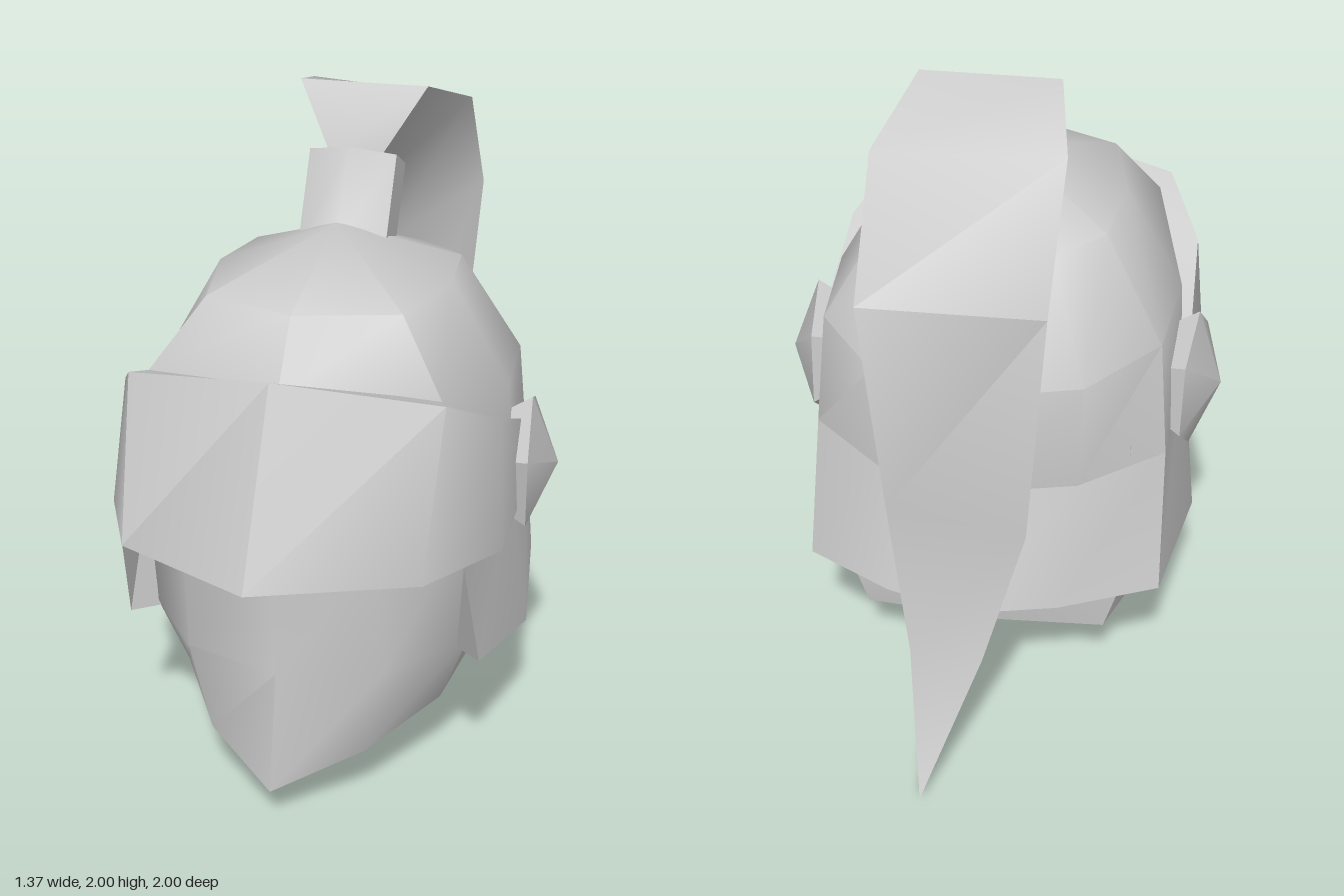
import * as THREE from 'three';
import { toCreasedNormals } from 'three/addons/utils/BufferGeometryUtils.js';

const material = new THREE.MeshStandardMaterial({ color: 0xcccccc, side: THREE.DoubleSide });

const flip = ([x, y, z]) => [-x, y, z];

// half ring from front centre to back centre -> full closed ring
const ring = (half) => [...half, ...half.slice(1, -1).reverse().map(flip)];
// half arc from front centre to its left end -> arc across the front
const frontArc = (half) => [...half.slice(1).reverse().map(flip), ...half];
// half arc from its left end to back centre -> arc around the back
const backArc = (half) => [...half, ...half.slice(0, -1).reverse().map(flip)];
// a row that shrinks to one point
const point = (p, n) => Array.from({ length: n }, () => p);

// Skin rows of points, listed top to bottom
function loft(rows, closed, crease = 0.75) {
  const n = rows[0].length;
  const index = [];
  for (let i = 0; i < rows.length - 1; i++) {
    for (let j = 0; j < (closed ? n : n - 1); j++) {
      const a = i * n + j, b = i * n + ((j + 1) % n);
      index.push(a + n, b + n, b, a + n, b, a);
    }
  }
  const g = new THREE.BufferGeometry();
  g.setAttribute('position', new THREE.Float32BufferAttribute(rows.flat(2), 3));
  g.setIndex(index);
  return toCreasedNormals(g, crease);
}

export function createModel() {
  const group = new THREE.Group();
  const add = (name, geometry) => {
    const mesh = new THREE.Mesh(geometry, material);
    mesh.name = name;
    group.add(mesh);
    return mesh;
  };

  // Skull dome
  const domeRows = [
    [[0, 1.52, 0.54], [0.29, 1.51, 0.42], [0.36, 1.51, 0.1], [0.33, 1.5, -0.17], [0.2, 1.49, -0.3], [0, 1.49, -0.34]],
    [[0, 1.33, 0.67], [0.43, 1.31, 0.53], [0.54, 1.2, 0.1], [0.51, 1.19, -0.25], [0.31, 1.17, -0.49], [0, 1.17, -0.58]],
    [[0, 0.84, 0.7], [0.48, 0.84, 0.5], [0.56, 0.83, 0.1], [0.54, 0.83, -0.28], [0.3, 0.83, -0.49], [0, 0.82, -0.56]],
  ].map(ring);
  add('skullDome', loft([point([0, 1.65, 0.08], 10), ...domeRows], true));

  // Flared cheek and neck skirt, turned inward at the rim
  add('neckSkirt', loft([
    [[0.5, 0.84, 0.43], [0.52, 0.84, 0.6], [0.56, 0.83, 0.1], [0.54, 0.83, -0.28], [0.3, 0.83, -0.49], [0, 0.82, -0.56]],
    [[0.47, 0.47, 0.42], [0.55, 0.47, 0.48], [0.62, 0.39, 0.07], [0.55, 0.41, -0.41], [0.26, 0.45, -0.6], [0, 0.46, -0.68]],
    [[0.47, 0.47, 0.4], [0.48, 0.47, 0.42], [0.53, 0.43, 0.05], [0.47, 0.44, -0.36], [0.22, 0.47, -0.52], [0, 0.48, -0.59]],
    [[0.47, 0.82, 0.4], [0.48, 0.82, 0.42], [0.5, 0.82, 0.05], [0.47, 0.82, -0.28], [0.25, 0.82, -0.44], [0, 0.82, -0.5]],
  ].map(backArc), false, 0.6));

  // Face and chin guard with a pointed keel and closed underside
  const chinRows = [
    [[0, 0.9, 0.73], [0.3, 0.9, 0.66], [0.5, 0.9, 0.43], [0.5, 0.9, -0.1], [0.44, 0.9, -0.36], [0, 0.9, -0.46]],
    [[0, 0.48, 0.73], [0.3, 0.48, 0.64], [0.5, 0.49, 0.4], [0.49, 0.46, -0.1], [0.44, 0.42, -0.4], [0, 0.41, -0.45]],
    [[0, 0.12, 0.8], [0.24, 0.19, 0.62], [0.41, 0.25, 0.36], [0.45, 0.23, -0.2], [0.38, 0.21, -0.38], [0, 0.21, -0.41]],
  ].map(ring);
  add('chinGuard', loft([...chinRows, point([0, 0.18, 0.15], 10)], true));

  // Peaked visor: a solid band
  const visorTop = [[0, 1.4, 0.74], [0.46, 1.33, 0.61], [0.57, 1.21, 0.38], [0.58, 1.07, 0.04]];
  add('visor', loft([
    visorTop,
    [[0, 0.885, 1], [0.44, 0.86, 0.77], [0.6, 0.83, 0.45], [0.59, 0.83, 0.04]],
    [[0, 0.85, 0.72], [0.3, 0.85, 0.65], [0.49, 0.83, 0.42], [0.53, 0.83, 0.04]],
    [[0, 1.35, 0.64], [0.42, 1.3, 0.5], [0.49, 1.19, 0.36], [0.53, 1.06, 0.04]],
    visorTop,
  ].map(frontArc), false));

  // Six-sided pivot bosses with shallow points
  for (const side of [1, -1]) {
    const profile = [[0.18, -0.07], [0.225, 0], [0, 0.085]].map(([r, h]) => new THREE.Vector2(r, h));
    const boss = new THREE.LatheGeometry(profile, 6);
    boss.rotateY(-0.38).rotateZ(-Math.PI / 2).rotateY(0.12).translate(0.6, 0.92, 0.01);
    add(side > 0 ? 'leftPivot' : 'rightPivot', toCreasedNormals(boss, 0.7)).scale.x = side;
  }

  // Six-sided plume socket, leaning back
  const socket = new THREE.CylinderGeometry(0.125, 0.125, 0.3, 6);
  socket.scale(1.25, 1, 1).rotateX(-0.47).translate(0, 1.655, -0.095);
  add('plumeSocket', toCreasedNormals(socket, 1.1));

  // Plume: triangular sections [inner ridge, left edge, right edge]
  add('plume', loft([
    point([0, 1.7, -0.13], 3),
    [[0, 1.68, -0.2], [0.08, 1.8, -0.13], [-0.08, 1.8, -0.13]],
    [[0, 1.7, -0.27], [0.2, 2, -0.23], [-0.2, 2, -0.23]],
    [[0, 1.65, -0.45], [0.27, 1.9, -0.55], [-0.26, 1.93, -0.57]],
    [[0, 1.4, -0.57], [0.27, 1.56, -0.79], [-0.25, 1.6, -0.84]],
    [[0, 0.83, -0.565], [0.22, 0.87, -0.74], [-0.2, 0.9, -0.845]],
    [[0.04, 0.3, -0.69], [0.15, 0.4, -0.8], [-0.07, 0.41, -0.82]],
    point([0.09, 0, -1], 3),
  ], true));

  return group;
}
